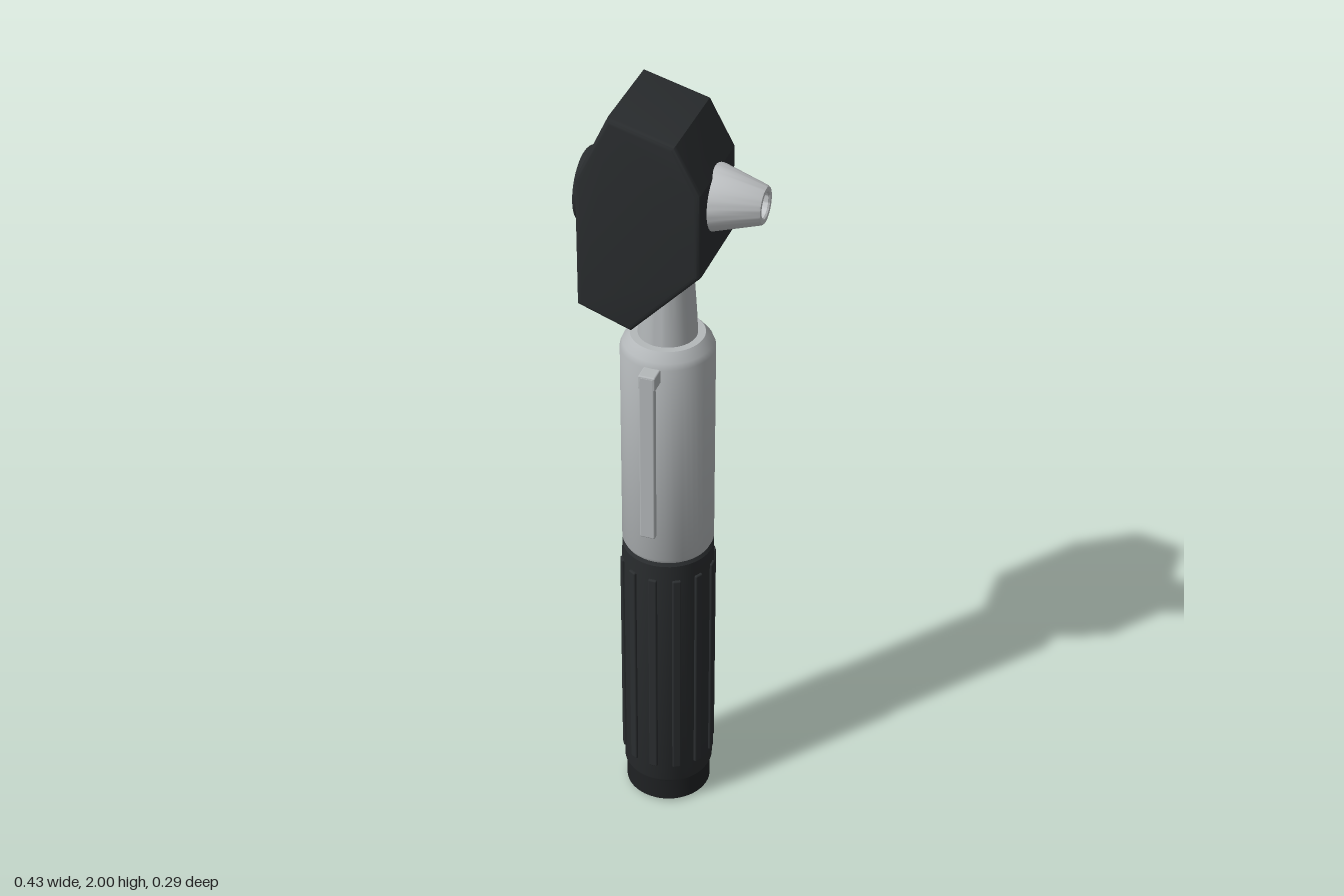
import * as THREE from 'three';
import { RoundedBoxGeometry } from 'three/addons/geometries/RoundedBoxGeometry.js';
import { toCreasedNormals } from 'three/addons/utils/BufferGeometryUtils.js';

const AX = -0.017, AZ = -0.004; // handle axis
const material = (color, side = THREE.FrontSide) => new THREE.MeshStandardMaterial({ color, side });
const black = material(0x2a2d2f);
const rubber = material(0x1f2123);
const silver = material(0xb4b8ba);
const pale = material(0xc4c7c9);
const glass = material(0x2f4448);

export function createModel() {
  const model = new THREE.Group();

  const add = (name, geometry, mat, x = 0, y = 0, z = 0, parent = model) => {
    const mesh = new THREE.Mesh(geometry, mat);
    mesh.name = name;
    mesh.position.set(x, y, z);
    parent.add(mesh);
    return mesh;
  };
  const lathe = (points, segments = 48) => toCreasedNormals(
    new THREE.LatheGeometry(points.map(([r, y]) => new THREE.Vector2(r, y)), segments), 0.5);
  const group = (name) => {
    const g = new THREE.Group();
    g.name = name;
    model.add(g);
    return g;
  };

  // Handle: end cap, rubber grip, metal barrel and neck
  add('endCap', lathe([[0, 0], [0.1, 0], [0.108, 0.008], [0.108, 0.075], [0, 0.075]]), rubber, AX, 0, AZ);
  add('gripCore', lathe([[0, 0.068], [0.107, 0.068], [0.113, 0.08], [0.113, 0.778], [0.107, 0.788], [0, 0.788]]),
    black, AX, 0, AZ);
  add('barrel', lathe([[0, 0.785], [0.107, 0.785], [0.113, 0.797], [0.113, 1.355], [0.107, 1.37],
    [0.089, 1.392], [0, 1.392]]), silver, AX, 0, AZ);
  add('neck', lathe([[0.071, 1.385], [0.068, 1.45], [0.058, 1.6], [0, 1.6]]), silver, AX, 0, AZ);

  // Raised ribs around the grip
  const ribs = group('gripRibs');
  const ribGeometry = new RoundedBoxGeometry(0.022, 0.61, 0.014, 2, 0.004);
  const ribCount = 12;
  for (let i = 0; i < ribCount; i++) {
    const a = (i / ribCount) * Math.PI * 2;
    const rib = add('gripRib', ribGeometry, black,
      AX + Math.sin(a) * 0.112, 0.43, AZ + Math.cos(a) * 0.112, ribs);
    rib.rotation.y = a;
  }

  // Pocket clip on the front
  const clip = group('pocketClip');
  add('clipMount', new RoundedBoxGeometry(0.042, 0.038, 0.045, 2, 0.004), silver, AX, 1.338, 0.123, clip);
  add('clipArm', new RoundedBoxGeometry(0.038, 0.465, 0.016, 2, 0.004), silver, AX, 1.122, 0.138, clip);

  // Ridged slide switch on the back
  const slider = group('slideSwitch');
  add('switchBase', new RoundedBoxGeometry(0.06, 0.145, 0.04, 2, 0.005), rubber, AX, 1.233, -0.114, slider);
  for (let i = 0; i < 4; i++) {
    add('switchRidge', new RoundedBoxGeometry(0.052, 0.016, 0.022, 2, 0.004), rubber,
      AX, 1.185 + i * 0.032, -0.137, slider);
  }

  // Faceted head with bevelled edges
  const bevel = 0.012;
  const outline = [[-0.115, 2.0], [-0.195, 1.83], [-0.195, 1.502], [-0.065, 1.455],
    [0.102, 1.63], [0.102, 1.845], [0.042, 1.957]];
  const headShape = new THREE.Shape(outline.map(([x, y]) => new THREE.Vector2(x, y)));
  const headGeometry = new THREE.ExtrudeGeometry(headShape, {
    depth: 0.25 - 2 * bevel, bevelEnabled: true, bevelThickness: bevel,
    bevelSize: bevel, bevelOffset: -bevel, bevelSegments: 4,
  });
  add('head', toCreasedNormals(headGeometry, 0.45), black, 0, 0, -0.13 + bevel);

  // Hollow cone tip pointing to the left side
  const tip = add('speculum', lathe([[0.084, 0.08], [0.077, 0.108], [0.046, 0.211], [0.043, 0.215],
    [0.032, 0.215], [0.029, 0.211], [0.04, 0.09]]), material(0xc4c7c9, THREE.DoubleSide), 0, 1.777, -0.005);
  tip.rotation.z = -Math.PI / 2;
  const bore = add('speculumBore', new THREE.CircleGeometry(0.045, 32), rubber, 0.106, 1.777, -0.005);
  bore.rotation.y = Math.PI / 2;

  // Viewing eyepiece with its lens on the right side
  const eyepiece = add('eyepieceRim', lathe([[0.09, 0.18], [0.09, 0.211], [0.086, 0.215], [0.074, 0.215],
    [0.07, 0.211], [0.07, 0.18]]), black, 0, 1.75, -0.005);
  eyepiece.rotation.z = Math.PI / 2;
  const lens = add('lens', lathe([[0.071, 0.2], [0.05, 0.205], [0.025, 0.208], [0, 0.209]]),
    glass, 0, 1.75, -0.005);
  lens.rotation.z = Math.PI / 2;

  return model;
}
